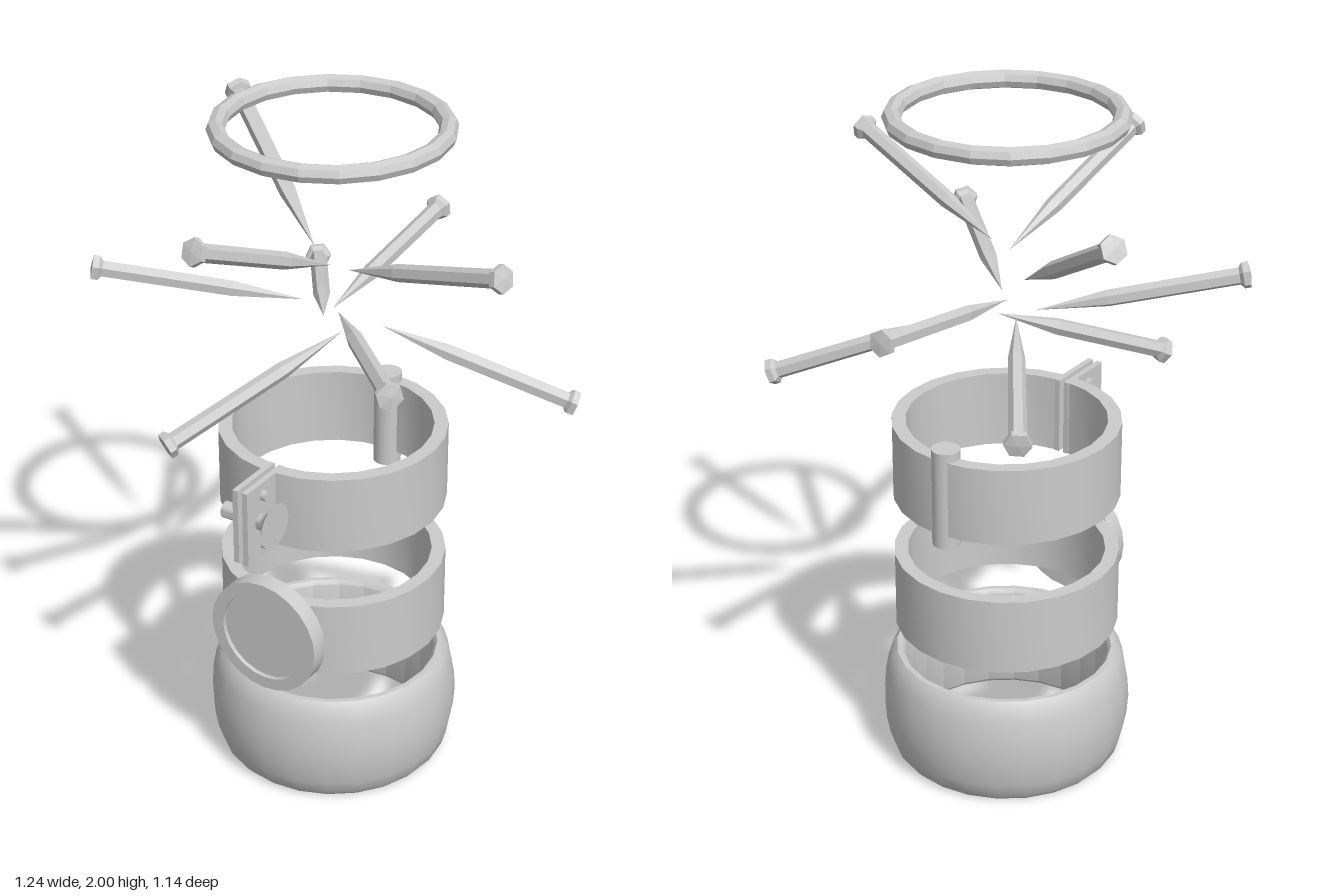
import * as THREE from 'three';
import { toCreasedNormals } from 'three/addons/utils/BufferGeometryUtils.js';

const CX = -0.02, CZ = 0.005; // common axis of the stacked rings

export function createModel() {
  const model = new THREE.Group();
  model.name = 'explodedRingAssembly';
  const smooth = new THREE.MeshStandardMaterial({ color: 0xcccccc });
  const faceted = new THREE.MeshStandardMaterial({ color: 0xcccccc, flatShading: true });

  const add = (parent, name, geometry, material = smooth, x = 0, y = 0, z = 0) => {
    const mesh = new THREE.Mesh(geometry, material);
    mesh.name = name;
    mesh.position.set(x, y, z);
    parent.add(mesh);
    return mesh;
  };
  const lathe = (pts, segments = 24, gap = 0) => toCreasedNormals(
    new THREE.LatheGeometry(pts.map(p => new THREE.Vector2(...p)), segments, gap, Math.PI * 2 - 2 * gap), 0.7);
  // Closed straight band section
  const band = (inner, outer, h) =>
    [[inner, 0], [outer, 0], [outer, h], [inner, h], [inner, 0]];

  // Bulging base ring
  add(model, 'baseRing', lathe([
    [0.3, 0.012], [0.31, 0], [0.325, 0], [0.34, 0.018], [0.353, 0.06], [0.362, 0.11], [0.366, 0.168],
    [0.362, 0.225], [0.353, 0.275], [0.34, 0.318], [0.325, 0.335], [0.31, 0.335], [0.3, 0.323], [0.3, 0.012],
  ]), smooth, CX, 0, CZ);

  // Middle band with a round dish on its front
  add(model, 'middleBand', lathe(band(0.287, 0.327, 0.23)), smooth, CX, 0.435, CZ);
  const dish = add(model, 'frontDish', lathe([
    [0, 0], [0.175, 0], [0.175, 0.053], [0.138, 0.053], [0.138, 0.04], [0, 0.04],
  ]), smooth, CX, 0.55, 0.317);
  dish.rotation.x = Math.PI / 2;

  // Split clamp band
  const clamp = new THREE.Group();
  clamp.name = 'clamp';
  clamp.position.set(CX, 0.965, CZ);
  model.add(clamp);
  add(clamp, 'clampBand', lathe(band(0.287, 0.327, 0.23), 24, 0.05), smooth, 0, -0.115, 0);
  add(clamp, 'hingePin', new THREE.CylinderGeometry(0.041, 0.041, 0.295, 16), smooth, 0, -0.007, -0.293);
  for (const side of [-1, 1]) {
    add(clamp, 'clampPlate', new THREE.BoxGeometry(0.017, 0.23, 0.178), smooth, side * 0.0155, 0, 0.371);
    const rivet = add(clamp, 'rivet', new THREE.CylinderGeometry(0.016, 0.016, 0.08, 10), smooth, 0, side * 0.077, 0.385);
    rivet.rotation.z = Math.PI / 2;
  }
  // Bolt with a flared knob, lying across the plates
  const bolt = add(clamp, 'clampBolt', lathe([
    [0, -0.093], [0.024, -0.093], [0.024, 0.035], [0.03, 0.045], [0.045, 0.058], [0.066, 0.072], [0, 0.072],
  ], 18), smooth, 0, 0, 0.4);
  bolt.rotation.z = -Math.PI / 2;

  // Spikes radiating from the centre: head position, tip position
  const spikes = [
    [[-0.577, 1.843, -0.345], [-0.135, 1.56, -0.08]],
    [[-0.086, 1.81, 0.545], [-0.012, 1.58, 0.025]],
    [[0.6, 1.767, 0.179], [0.055, 1.59, 0.043]],
    [[-0.59, 1.543, 0.328], [-0.118, 1.437, 0.003]],
    [[-0.02, 1.525, -0.56], [-0.017, 1.44, 0.01]],
    [[0.432, 1.502, 0.438], [0.018, 1.45, 0.036]],
    [[-0.387, 1.305, -0.477], [-0.056, 1.4, -0.003]],
    [[-0.243, 1.165, 0.485], [0.022, 1.385, 0.02]],
    [[0.581, 1.178, -0.3], [0.095, 1.387, -0.063]],
  ];
  const up = new THREE.Vector3(0, 1, 0);
  for (const [head, tip] of spikes) {
    const a = new THREE.Vector3(...tip), b = new THREE.Vector3(...head);
    const axis = b.clone().sub(a), length = axis.length();
    const geometry = new THREE.LatheGeometry([
      [0, 0], [0.024, 0.2], [0.025, length - 0.022], [0.038, length - 0.012], [0.038, length + 0.006], [0, length + 0.01],
    ].map(p => new THREE.Vector2(...p)), 6);
    const spike = add(model, 'spike', geometry, faceted, ...tip);
    spike.quaternion.setFromUnitVectors(up, axis.normalize());
  }

  // Thin top hoop
  const hoop = add(model, 'topHoop', new THREE.TorusGeometry(0.309, 0.026, 8, 20), faceted, CX, 1.974, CZ);
  hoop.rotation.x = Math.PI / 2;

  return model;
}
